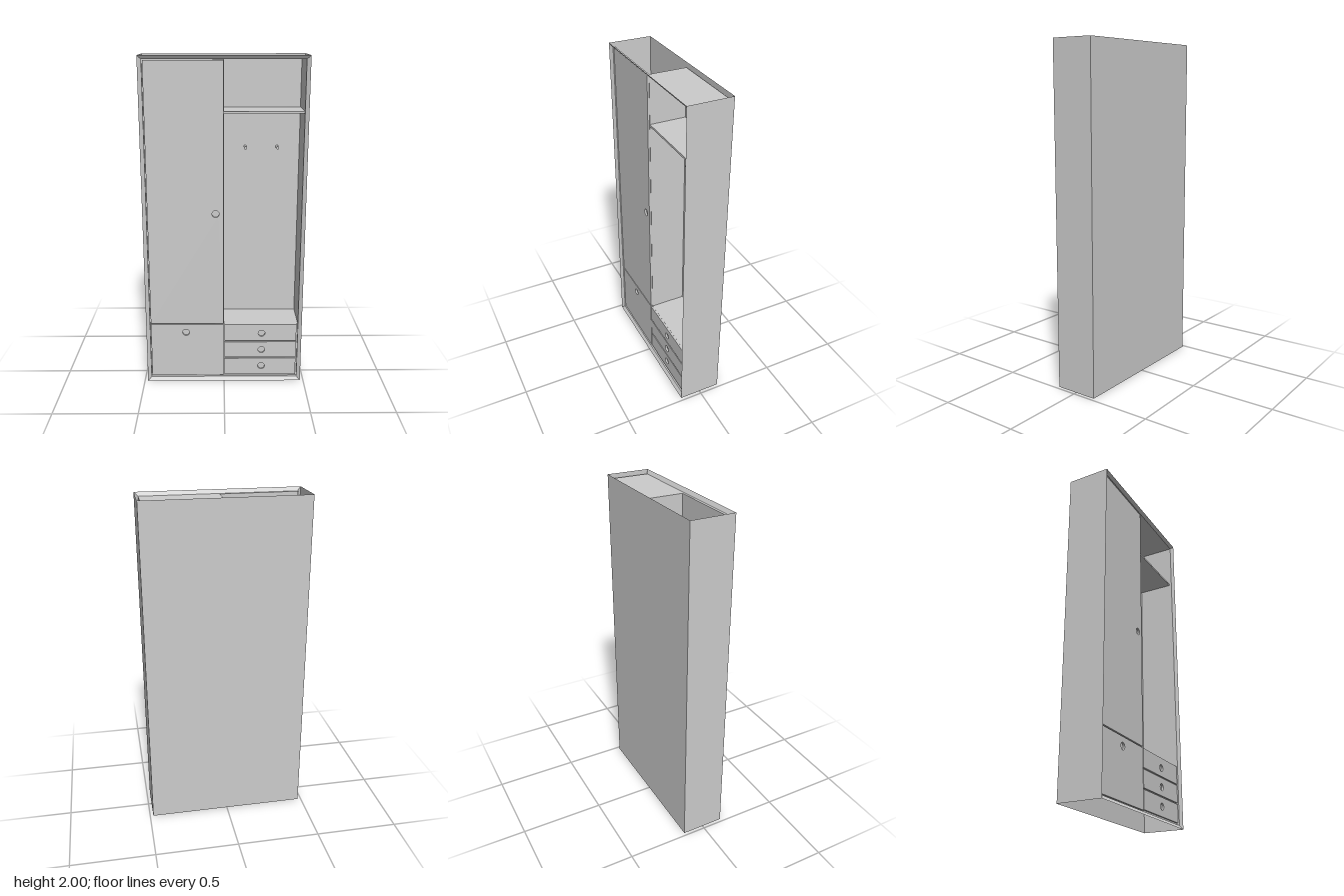
import * as THREE from 'three';

const material = new THREE.MeshStandardMaterial({ color: 0xcccccc, flatShading: true, side: THREE.DoubleSide });

// Main dimensions: half width, height, half depth, inner opening, base plane of the fronts
const W = 0.48, H = 2, D = 0.13;
const IX = 0.458, IY0 = 0.022, IY1 = 1.978;
const BEVEL_Z = 0.115, BASE_Z = 0.1, NICHE_Z = -0.118, NICHE_Y = 0.38;

function add(group, name, geometry, x = 0, y = 0, z = 0) {
  const mesh = new THREE.Mesh(geometry, material);
  mesh.name = name;
  mesh.position.set(x, y, z);
  group.add(mesh);
  return mesh;
}

// Thin four-cornered panels, corners counter-clockwise from the facing side
function quads(list) {
  const positions = list.flatMap(([a, b, c, d]) => [a, b, c, a, c, d].flat());
  const g = new THREE.BufferGeometry();
  g.setAttribute('position', new THREE.Float32BufferAttribute(positions, 3));
  g.computeVertexNormals();
  return g;
}

const ring = (x, y0, y1, z) => [[-x, y0, z], [x, y0, z], [x, y1, z], [-x, y1, z]];

// Bands joining one rectangle to the next
function bands(rings) {
  const list = [];
  for (let r = 0; r < rings.length - 1; r++) {
    for (let i = 0; i < 4; i++) {
      const j = (i + 1) % 4;
      list.push([rings[r][i], rings[r][j], rings[r + 1][j], rings[r + 1][i]]);
    }
  }
  return quads(list);
}

// Door or drawer front with a round finger hole
function frontPanel(group, name, x0, x1, y0, y1, hx, hy) {
  const shape = new THREE.Shape([[x0, y0], [x1, y0], [x1, y1], [x0, y1]].map(p => new THREE.Vector2(...p)));
  const hole = new THREE.Path();
  hole.absarc(hx, hy, 0.021, 0, Math.PI * 2, true);
  shape.holes.push(hole);
  const g = new THREE.ExtrudeGeometry(shape, { depth: 0.011, bevelEnabled: false, curveSegments: 16 });
  add(group, name, g, 0, 0, BASE_Z);
}

export function createModel() {
  const model = new THREE.Group();
  model.name = 'hallCabinet';

  // Outer shell, open at top and bottom
  add(model, 'backWall', quads([[[W, 0, -D], [-W, 0, -D], [-W, H, -D], [W, H, -D]]]));
  add(model, 'leftWall', quads([[[W, 0, D], [W, 0, -D], [W, H, -D], [W, H, D]]]));
  add(model, 'rightWall', quads([[[-W, 0, -D], [-W, 0, D], [-W, H, D], [-W, H, -D]]]));

  // Mitred front frame sloping in to the fronts
  add(model, 'frontFrame', bands([
    ring(W, 0, H, D), ring(IX, IY0, IY1, BEVEL_Z), ring(IX, IY0, IY1, BASE_Z),
  ]));

  // Plate behind the doors and drawers
  const plate = new THREE.Shape([
    [-IX, IY0], [IX, IY0], [IX, NICHE_Y], [0, NICHE_Y], [0, IY1], [-IX, IY1],
  ].map(p => new THREE.Vector2(...p)));
  add(model, 'frontPlate', new THREE.ShapeGeometry(plate), 0, 0, BASE_Z);

  // Open niche: back, floor, ceiling, divider and side
  const niche = new THREE.Group();
  niche.name = 'niche';
  model.add(niche);
  const f = BASE_Z, b = NICHE_Z, y0 = NICHE_Y, y1 = IY1;
  add(niche, 'nicheBack', quads([[[0, y0, b], [IX, y0, b], [IX, y1, b], [0, y1, b]]]));
  add(niche, 'nicheFloor', quads([[[0, y0, f], [IX, y0, f], [IX, y0, b], [0, y0, b]]]));
  add(niche, 'nicheCeiling', quads([[[0, y1, b], [IX, y1, b], [IX, y1, f], [0, y1, f]]]));
  add(niche, 'divider', quads([[[0, y0, f], [0, y0, b], [0, y1, b], [0, y1, f]]]));
  add(niche, 'nicheSide', quads([[[IX, y0, b], [IX, y0, f], [IX, y1, f], [IX, y1, b]]]));
  add(niche, 'hatShelf', new THREE.BoxGeometry(IX, 0.012, f - b), IX / 2, 1.684, (f + b) / 2);

  // Coat pegs
  for (const x of [0.13, 0.322]) {
    const peg = new THREE.CylinderGeometry(0.009, 0.009, 0.06, 16).rotateX(Math.PI / 2);
    add(niche, 'coatPeg', peg, x, 1.453, b + 0.03);
  }

  // Doors
  frontPanel(model, 'tallDoor', -0.453, -0.003, 0.386, 1.974, -0.05, 1.09);
  frontPanel(model, 'lowerDoor', -0.453, -0.003, 0.03, 0.379, -0.236, 0.326);

  // Drawer fronts
  for (const [bottom, top, holeY] of [[0.035, 0.146, 0.093], [0.154, 0.26, 0.205], [0.268, 0.379, 0.318]]) {
    frontPanel(model, 'drawerFront', 0.003, 0.45, bottom, top, 0.234, holeY);
  }
  return model;
}
